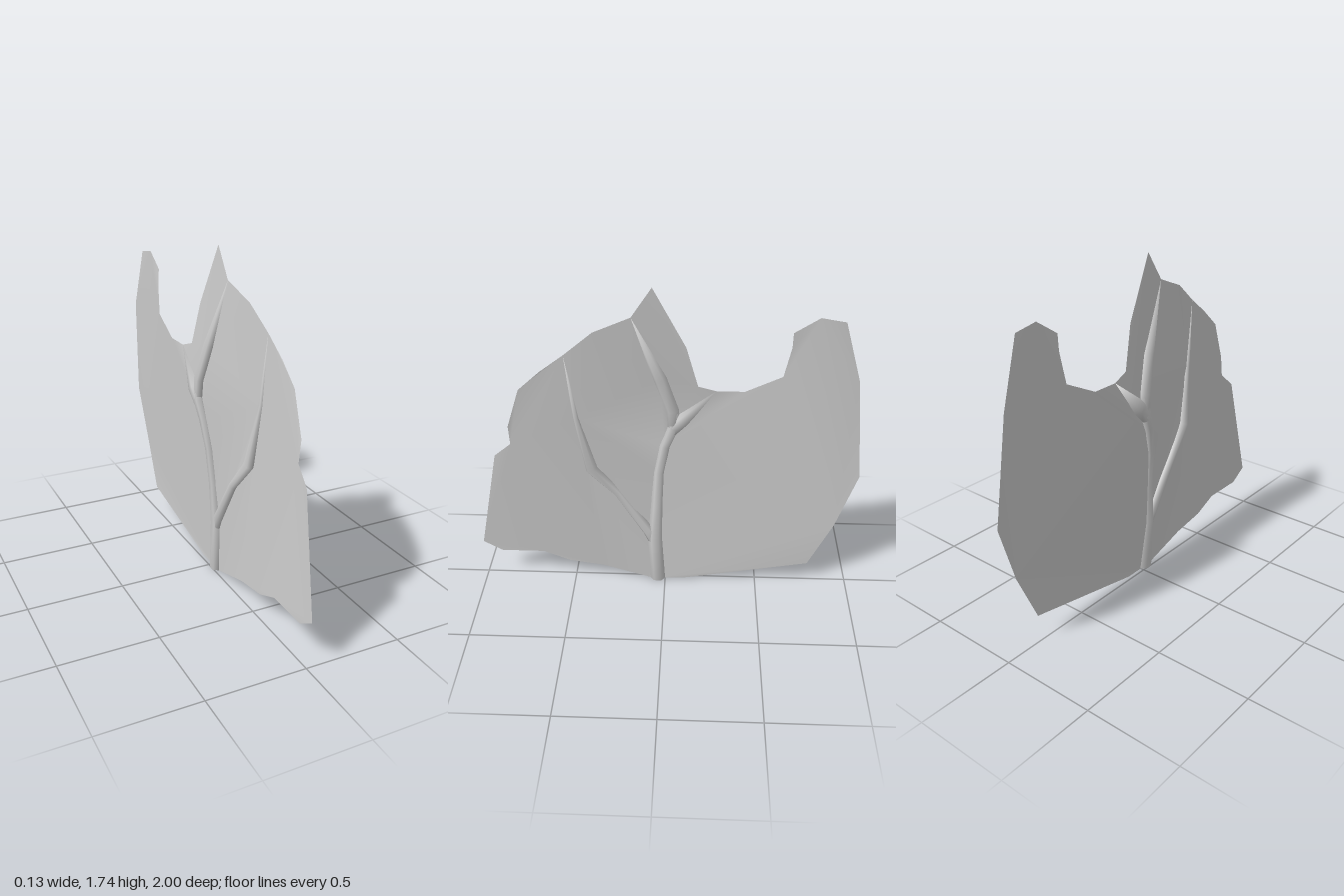
import * as THREE from 'three';
import { mergeVertices } from 'three/addons/utils/BufferGeometryUtils.js';

const material = new THREE.MeshStandardMaterial({ color: 0xcccccc, side: THREE.DoubleSide });

// Every point is [z, y, x]; branch points add a radius.
const trunk = [
  [0.04, 0, 0.022, 0.04], [0.055, 0.28, 0.018, 0.038], [0.045, 0.5, 0.005, 0.03],
  [0.035, 0.7, -0.015, 0.027], [0.005, 0.85, -0.033, 0.028], [-0.035, 0.95, -0.042, 0.034],
  [-0.045, 1.05, -0.038, 0.025],
];
const frontBranch = [
  [0.055, 0.24, 0.018, 0.025], [0.09, 0.33, 0.015, 0.032], [0.25, 0.58, 0.012, 0.025],
  [0.38, 0.74, 0.03, 0.034], [0.44, 1.06, 0.053, 0.014], [0.48, 1.41, 0.06, 0],
];
const upperBranch = [
  [-0.035, 0.95, -0.042, 0.03], [-0.035, 1.06, -0.036, 0.035],
  [0.025, 1.25, -0.01, 0.034], [0.16, 1.59, 0.02, 0],
];
const rearBranch = [
  [-0.03, 0.93, -0.042, 0.03], [-0.08, 1.0, -0.042, 0.042], [-0.25, 1.18, -0.03, 0],
];

// Outline of the fan, one stretch between each pair of branch tips
const frontEdge = [
  [0.6, 1.32, 0.065], [0.71, 1.22, 0.065], [0.78, 1.01, 0.065], [0.78, 0.9, 0.055],
  [0.87, 0.82, 0.045], [1, 0.23, 0.02], [0.9, 0.17, 0.02], [0.67, 0.17, 0.02],
  [0.53, 0.11, 0.02], [0.34, 0.08, 0.02], [0.08, 0, 0.022],
];
const upperEdge = [[0.34, 1.52, 0.04]];
const tipEdge = [[-0.16, 1.21, -0.02], [-0.1, 1.43, 0], [0.06, 1.74, 0.02]];
const rearEdge = [
  [-0.1, 0, 0.02], [-0.78, 0.13, 0.02], [-0.9, 0.4, 0.02], [-1, 0.71, 0.005],
  [-0.94, 1.25, -0.022], [-0.84, 1.57, -0.01], [-0.72, 1.59, -0.01], [-0.6, 1.51, -0.012],
  [-0.6, 1.43, -0.017], [-0.57, 1.27, -0.025], [-0.39, 1.18, -0.03],
];

function finish(positions, index, name) {
  let g = new THREE.BufferGeometry();
  g.setAttribute('position', new THREE.Float32BufferAttribute(positions, 3));
  g.setIndex(index);
  g = mergeVertices(g, 1e-4);
  g.computeVertexNormals();
  const mesh = new THREE.Mesh(g, material);
  mesh.name = name;
  return mesh;
}

// Thin sheet filling the panels between the branches
function makeSheet(panels) {
  const positions = [], index = [];
  for (const panel of panels) {
    const start = positions.length / 3;
    const contour = panel.map(([z, y]) => new THREE.Vector2(z, y));
    panel.forEach(([z, y, x]) => positions.push(x, y, z));
    for (const f of THREE.ShapeUtils.triangulateShape(contour, [])) {
      index.push(...f.map((i) => i + start));
    }
  }
  return finish(positions, index, 'fanSheet');
}

// Six-sided tapering branch, slightly flattened across the sheet
function makeBranch(path, name, sides = 6) {
  const positions = [], index = [];
  path.forEach(([z, y, x, r], i) => {
    const a = path[Math.max(i - 1, 0)], b = path[Math.min(i + 1, path.length - 1)];
    let tz = b[0] - a[0], ty = b[1] - a[1];
    if (y === 0) tz = 0; // level foot
    const len = Math.hypot(tz, ty);
    for (let j = 0; j < sides; j++) {
      const t = (j / sides) * Math.PI * 2;
      const c = r * Math.cos(t) / len;
      positions.push(x - 0.75 * r * Math.sin(t), y + c * tz, z - c * ty);
      if (i < path.length - 1) {
        const p = i * sides + j, q = i * sides + (j + 1) % sides;
        index.push(p, q, q + sides, p, q + sides, p + sides);
      }
    }
  });
  for (let j = 1; j < sides - 1; j++) index.push(0, j + 1, j); // foot cap
  return finish(positions, index, name);
}

export function createModel() {
  const group = new THREE.Group();
  group.name = 'branchedFan';

  const lower = trunk.slice(0, 2), middle = trunk.slice(2, 6);
  const front = frontBranch.slice(1), upper = upperBranch.slice(1), rear = rearBranch.slice(1);
  const fork = trunk[5];
  group.add(makeSheet([
    [...lower, ...front, ...frontEdge],
    [lower[1], ...middle, ...upper, ...upperEdge, ...front.slice().reverse()],
    [fork, ...rear, ...tipEdge, ...upper.slice().reverse()],
    [...lower, ...middle, ...rear, ...rearEdge.slice().reverse()],
  ]));

  group.add(
    makeBranch(trunk, 'trunk'),
    makeBranch(frontBranch, 'frontBranch'),
    makeBranch(upperBranch, 'upperBranch'),
    makeBranch(rearBranch, 'rearBranch'),
  );
  return group;
}
